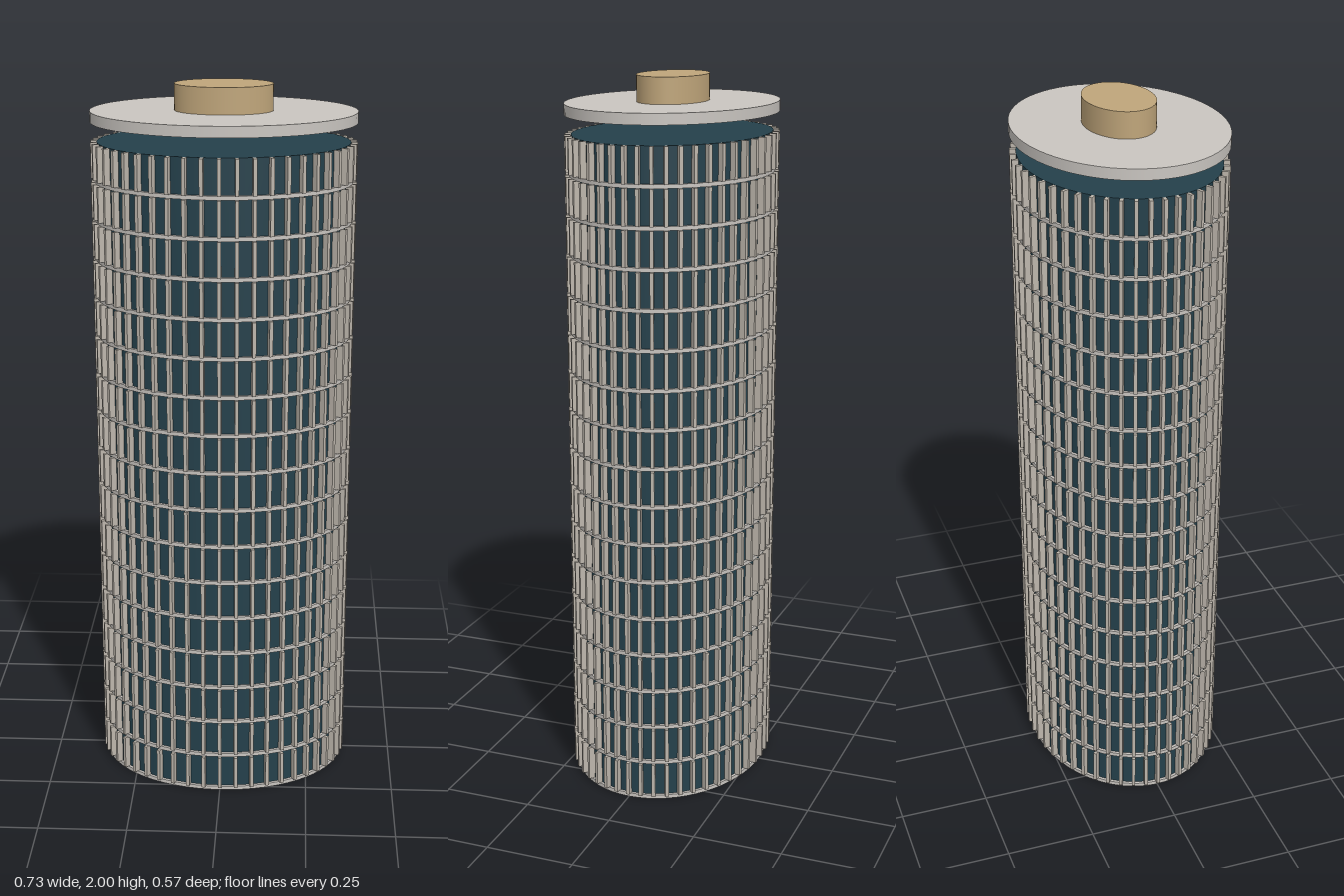
import * as THREE from 'three';
import { mergeGeometries } from 'three/addons/utils/BufferGeometryUtils.js';

const FLOORS = 17, PITCH = 0.1085, SLAB = 0.011, FINS = 48;

const material = (name, color) => {
  const m = new THREE.MeshStandardMaterial({ color });
  m.name = name;
  return m;
};

// Elliptical drum standing on y = 0
function drum(rx, rz, height) {
  return new THREE.CylinderGeometry(1, 1, height, 64)
    .scale(rx, 1, rz).translate(0, height / 2, 0);
}

// One storey's ring of upright fins, each square to the elliptical facade
function finRing(rx, rz, height) {
  const fins = [];
  for (let i = 0; i < FINS; i++) {
    const a = (i / FINS) * Math.PI * 2;
    const x = Math.sin(a) * rx, z = Math.cos(a) * rz;
    const turn = Math.atan2(Math.sin(a) / rx, Math.cos(a) / rz);
    fins.push(new THREE.BoxGeometry(0.01, height, 0.018)
      .rotateY(turn).translate(x, height / 2, z));
  }
  return mergeGeometries(fins);
}

export function createModel() {
  const stone = material('pale stone', 0xc9c5c0);
  const metal = material('fin metal', 0xbdb6ac);
  const glass = material('dark glass', 0x24404b);
  const tan = material('tan', 0xbfa57a);

  const model = new THREE.Group();
  model.name = 'tower';
  const add = (parent, name, geometry, mat, y) => {
    const mesh = new THREE.Mesh(geometry, mat);
    mesh.name = name;
    mesh.position.y = y;
    parent.add(mesh);
  };

  // Stacked storeys: slab, glazing and fins
  const slabGeo = drum(0.353, 0.273, SLAB);
  const glassGeo = drum(0.345, 0.265, PITCH - SLAB);
  const finGeo = finRing(0.354, 0.274, PITCH - SLAB);
  for (let i = 0; i < FLOORS; i++) {
    const storey = new THREE.Group();
    storey.name = `storey${i + 1}`;
    storey.position.y = i * PITCH;
    add(storey, 'floorSlab', slabGeo, stone, 0);
    add(storey, 'glazing', glassGeo, glass, SLAB);
    add(storey, 'fins', finGeo, metal, SLAB);
    model.add(storey);
  }

  // Floating roof disc and plant room
  add(model, 'roof', drum(0.363, 0.283, 0.03), stone, 1.898);
  add(model, 'plantRoom', drum(0.134, 0.094, 0.072), tan, 1.928);
  return model;
}
